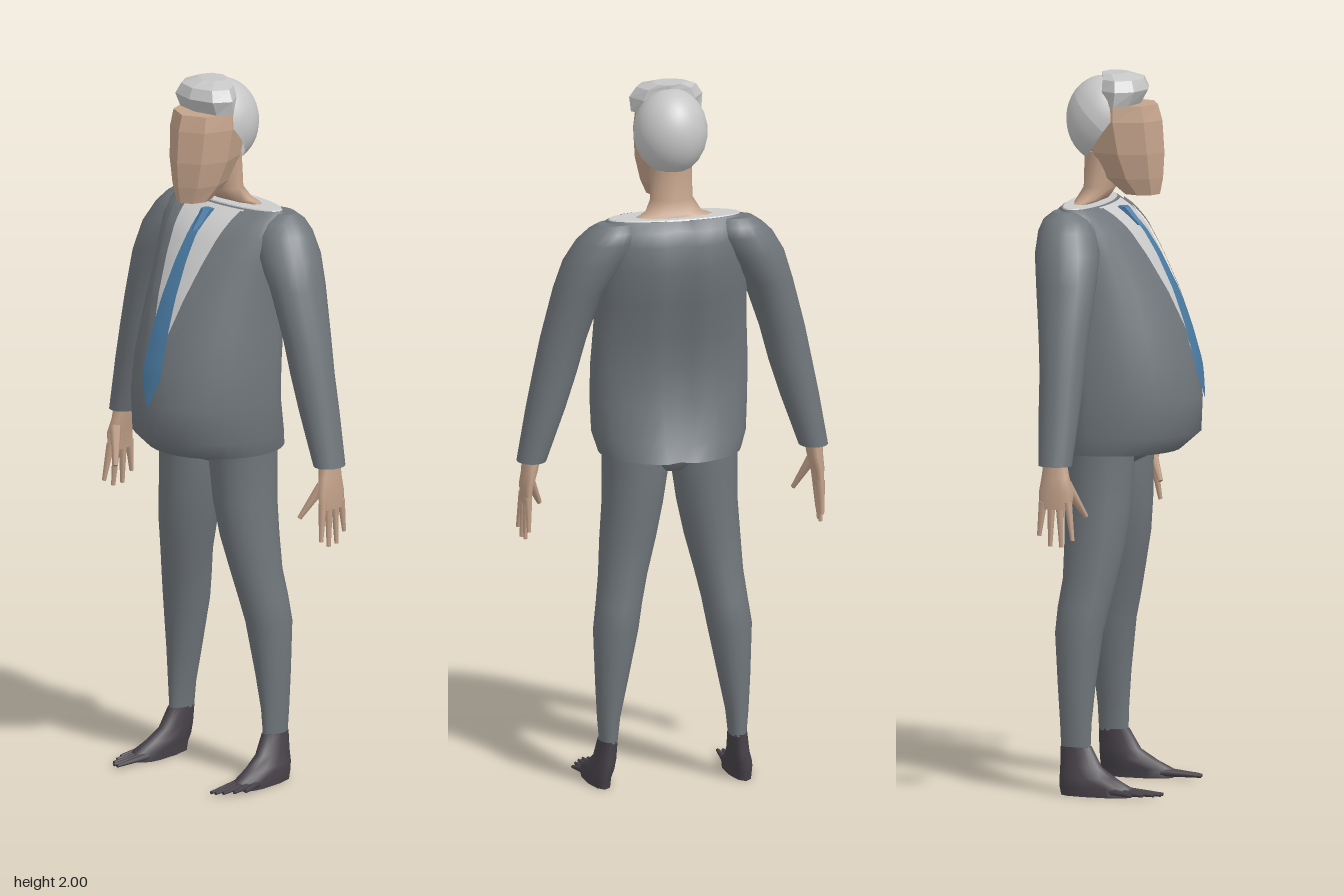
import * as THREE from 'three';

const mat = (name, color) => {
  const m = new THREE.MeshStandardMaterial({ color, side: THREE.DoubleSide });
  m.name = name;
  return m;
};

// Stacked oval sections, listed bottom to top: [y, centreX, halfWidth, frontZ, backZ, sideZ?]
function loft(rows, n = 16, { flat = false, crease = 0 } = {}) {
  const pos = [], idx = [];
  const ring = ([y, cx, w, f, b, c = (f + b) / 2]) => {
    for (let j = 0; j < n; j++) {
      const a = (j / n) * Math.PI * 2, k = Math.cos(a);
      const dent = j === n / 2 ? crease : 0;
      pos.push(cx + w * Math.sin(a), y, c + (k > 0 ? f - c : c - b) * k + dent);
    }
  };
  rows.forEach(ring);
  for (let i = 0; i < rows.length - 1; i++) {
    for (let j = 0; j < n; j++) {
      const a = i * n + j, b = i * n + (j + 1) % n;
      idx.push(a, b, b + n, a, b + n, a + n);
    }
  }
  // End caps with their own vertices, so that the rims stay sharp
  [rows[0], rows[rows.length - 1]].forEach((r, top) => {
    const s = pos.length / 3;
    ring(r);
    for (let j = 1; j < n - 1; j++) {
      if (top) idx.push(s, s + j, s + j + 1);
      else idx.push(s, s + j + 1, s + j);
    }
  });
  let g = new THREE.BufferGeometry();
  g.setAttribute('position', new THREE.Float32BufferAttribute(pos, 3));
  g.setIndex(idx);
  if (flat) g = g.toNonIndexed();
  g.computeVertexNormals();
  return g;
}

// Tapered rod between two points
function rod(a, b, r0, r1, sides = 6) {
  const p = new THREE.Vector3(...a), d = new THREE.Vector3(...b).sub(p);
  const g = new THREE.CylinderGeometry(r1, r0, d.length(), sides);
  g.applyQuaternion(new THREE.Quaternion().setFromUnitVectors(
    new THREE.Vector3(0, 1, 0), d.clone().normalize()));
  p.addScaledVector(d, 0.5);
  return g.translate(p.x, p.y, p.z);
}

const jacketRows = [
  [0.95, 0, 0.20, 0.16, -0.21, -0.04], [1.0, 0, 0.215, 0.218, -0.185, -0.04],
  [1.1, 0, 0.22, 0.222, -0.155, -0.04], [1.2, 0, 0.22, 0.207, -0.145, -0.05],
  [1.3, 0, 0.215, 0.178, -0.16, -0.06], [1.4, 0, 0.212, 0.14, -0.185, -0.07],
  [1.5, 0, 0.215, 0.09, -0.207, -0.08], [1.57, 0, 0.22, 0.045, -0.2, -0.08],
  [1.61, 0, 0.215, 0.005, -0.185, -0.09], [1.635, 0, 0.19, -0.035, -0.155, -0.1],
];

// Linear lookup in a list of [key, ...values]
function lerpRows(rows, y, col) {
  let i = 0;
  while (i < rows.length - 2 && y > rows[i + 1][0]) i++;
  const [p, q] = [rows[i], rows[i + 1]];
  const t = THREE.MathUtils.clamp((y - p[0]) / (q[0] - p[0]), 0, 1);
  return p[col] + (q[col] - p[col]) * t;
}

function chestZ(x, y) {
  const [w, f, c] = [2, 3, 5].map((k) => lerpRows(jacketRows, y, k));
  return c + (f - c) * Math.sqrt(Math.max(0, 1 - (x / w) ** 2));
}

// Thin cloth panel that follows the chest; edges are [y, x0, x1] from bottom to top
function panel(edges, offset, nx = 6, ny = 24) {
  const g = new THREE.PlaneGeometry(1, 1, nx, ny), p = g.attributes.position;
  const y0 = edges[0][0], y1 = edges[edges.length - 1][0];
  for (let i = 0; i < p.count; i++) {
    const y = y0 + (y1 - y0) * (p.getY(i) + 0.5);
    const a = lerpRows(edges, y, 1), b = lerpRows(edges, y, 2);
    const x = a + (b - a) * (p.getX(i) + 0.5);
    p.setXYZ(i, x, y, chestZ(x, y) + offset);
  }
  g.computeVertexNormals();
  return g;
}

export function createModel() {
  const model = new THREE.Group();
  const suit = mat('suit grey', 0x70767b), skin = mat('skin', 0xc4a38b);
  const hair = mat('silver hair', 0xc6c6c6), shirt = mat('shirt white', 0xcbcbcb);
  const blue = mat('tie blue', 0x4a7ba3), dark = mat('shoe dark', 0x48434a);
  const add = (name, g, m, parent = model) => {
    const mesh = new THREE.Mesh(g, m);
    mesh.name = name;
    parent.add(mesh);
  };

  // Jacket, shirt and tie
  add('jacket', loft(jacketRows, 32, { crease: 0.02 }), suit);
  add('shirtFront', panel([[1.2, -0.008, 0.008], [1.634, -0.105, 0.105]], 0.005, 8), shirt);
  add('shirtCollar', loft([[1.634, 0, 0.188, -0.038, -0.153, -0.1],
    [1.638, 0, 0.185, -0.04, -0.15, -0.1]], 24), shirt);
  for (const s of [1, -1]) {
    const e = [[1.2, 0.004, 0.006], [1.33, 0.036, 0.062], [1.632, 0.1, 0.14]]
      .map(([y, a, b]) => (s > 0 ? [y, a, b] : [y, -b, -a]));
    add(s > 0 ? 'leftLapel' : 'rightLapel', panel(e, 0.011), suit);
  }
  add('tie', panel([[1.1, -0.002, 0.002], [1.18, -0.036, 0.036], [1.3, -0.032, 0.032],
    [1.57, -0.016, 0.016], [1.625, -0.018, 0.018]], 0.014), blue);
  add('tieKnot', loft([[1.575, 0, 0.013, 0.058, 0.03], [1.625, 0, 0.019, 0.018, -0.02]],
    6, { flat: true }), blue);

  // Neck, head and hair
  add('neck', loft([[1.63, 0, 0.135, -0.088, -0.132], [1.647, 0, 0.08, -0.045, -0.13],
    [1.68, 0, 0.06, -0.02, -0.112], [1.78, 0, 0.06, 0, -0.11]], 12), skin);
  add('head', loft([[1.663, 0, 0.045, 0.106, 0.0], [1.71, 0, 0.068, 0.115, -0.06],
    [1.78, 0, 0.087, 0.119, -0.1], [1.87, 0, 0.095, 0.113, -0.12],
    [1.915, 0, 0.09, 0.1, -0.11]], 8, { flat: true }), skin);
  const cap = new THREE.SphereGeometry(1, 24, 14, 0, Math.PI * 2, 0, Math.PI * 0.6);
  cap.rotateX(-0.87).scale(0.103, 0.122, 0.106).translate(0, 1.868, -0.055);
  cap.computeVertexNormals();
  add('hair', cap, hair);
  add('frontHair', loft([[1.915, 0, 0.1, 0.05, -0.05], [1.955, 0, 0.104, 0.072, -0.06],
    [1.985, 0, 0.085, 0.06, -0.06], [2.0, 0, 0.045, 0.015, -0.06]], 8, { flat: true }), hair);

  // Trousers seat
  add('trouserSeat', loft([[0.9, 0, 0.04, 0.01, -0.1], [0.93, 0, 0.13, 0.07, -0.13],
    [0.99, 0, 0.19, 0.12, -0.15]], 16), suit);

  for (const s of [1, -1]) {
    const side = new THREE.Group();
    side.name = s > 0 ? 'leftLimbs' : 'rightLimbs';
    model.add(side);
    const limb = (name, rows, m, n) =>
      add(name, loft(rows.map(([y, x, ...r]) => [y, x * s, ...r]), n), m, side);
    const stick = (name, a, b, r0, r1, m) =>
      add(name, rod([a[0] * s, a[1], a[2]], [b[0] * s, b[1], b[2]], r0, r1), m, side);

    limb('sleeve', [[0.95, 0.4, 0.041, -0.03, -0.125], [1.1, 0.36, 0.055, -0.02, -0.135],
      [1.2, 0.334, 0.061, -0.015, -0.14], [1.3, 0.31, 0.064, -0.01, -0.15],
      [1.44, 0.268, 0.07, 0.0, -0.17], [1.52, 0.225, 0.088, -0.005, -0.185],
      [1.58, 0.19, 0.088, -0.025, -0.185], [1.61, 0.175, 0.073, -0.045, -0.175],
      [1.63, 0.17, 0.05, -0.08, -0.15]], suit, 20);

    // Hand with spread fingers
    limb('palm', [[0.83, 0.415, 0.012, -0.025, -0.12], [0.88, 0.413, 0.018, -0.02, -0.12],
      [0.92, 0.405, 0.022, -0.035, -0.115], [0.97, 0.4, 0.026, -0.045, -0.11]], skin, 10);
    [0.745, 0.725, 0.727, 0.755].forEach((y, i) =>
      stick('finger', [0.415, 0.85, -0.036 - i * 0.024],
        [0.425 - i * 0.003, y, -0.02 - i * 0.033], 0.012, 0.006, skin));
    stick('thumb', [0.405, 0.9, -0.045], [0.36, 0.805, 0.0], 0.017, 0.007, skin);

    limb('trouserLeg', [[0.13, 0.183, 0.025, -0.04, -0.125], [0.2, 0.182, 0.032, -0.038, -0.128],
      [0.3, 0.174, 0.045, -0.03, -0.136], [0.45, 0.161, 0.063, -0.012, -0.147],
      [0.52, 0.15, 0.064, 0.005, -0.143], [0.6, 0.136, 0.068, 0.022, -0.132],
      [0.7, 0.12, 0.078, 0.042, -0.132], [0.8, 0.106, 0.085, 0.052, -0.135],
      [0.9, 0.098, 0.092, 0.055, -0.14], [0.98, 0.098, 0.094, 0.06, -0.14]], suit, 18);

    // Shoe with separate toes
    limb('shoe', [[0, 0.2, 0.036, 0.085, -0.12, 0.02], [0.025, 0.2, 0.038, 0.085, -0.125, 0.02],
      [0.05, 0.195, 0.034, 0.04, -0.126], [0.08, 0.189, 0.03, -0.005, -0.126],
      [0.135, 0.184, 0.027, -0.036, -0.126]], dark, 12);
    [0.17, 0.168, 0.152, 0.125, 0.095].forEach((z, i) =>
      stick('toe', [0.178 + i * 0.012, 0.018, 0.03], [0.184 + i * 0.015, 0.01, z],
        0.012, 0.005, dark));
  }
  return model;
}
